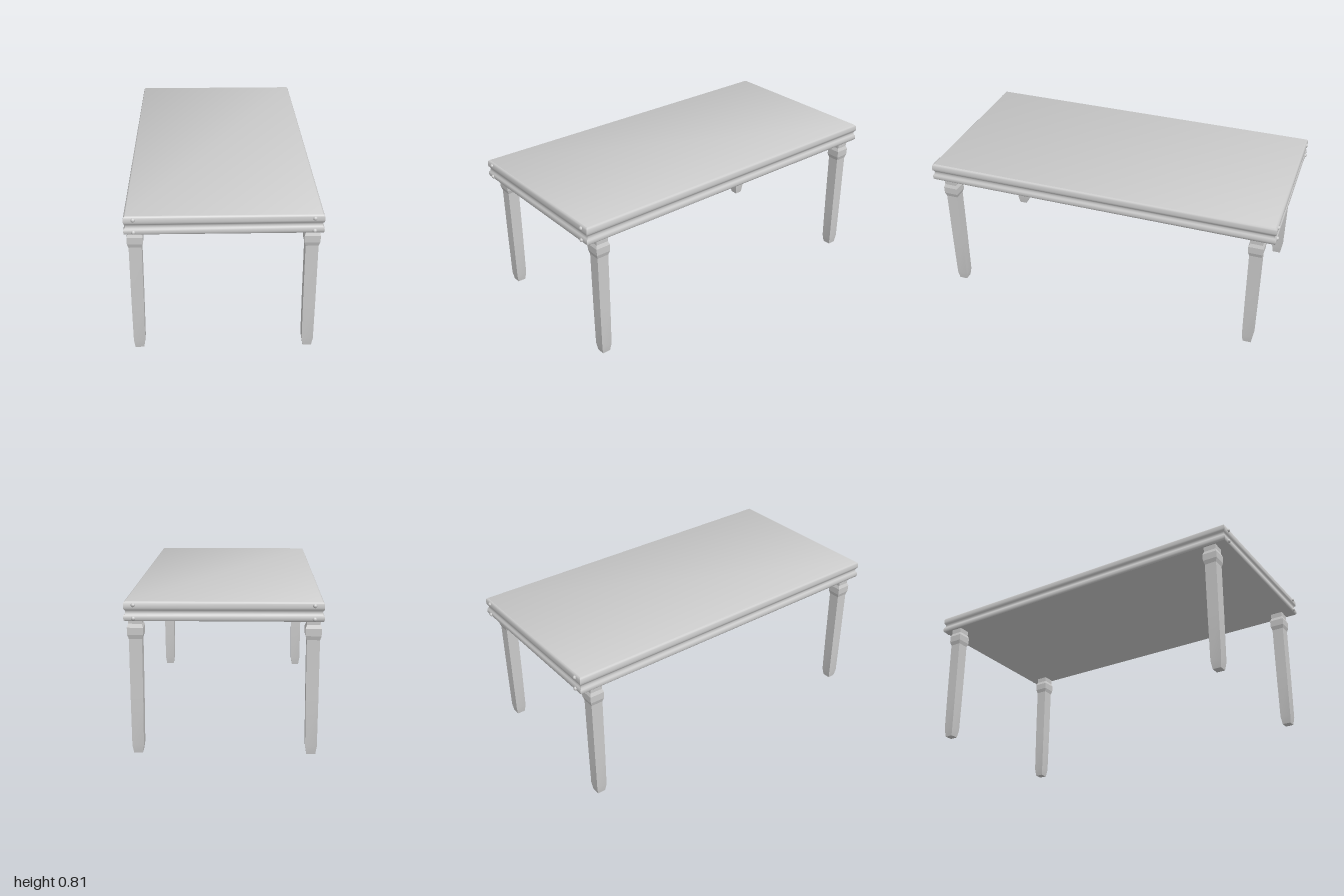
import * as THREE from 'three';
import { toCreasedNormals } from 'three/addons/utils/BufferGeometryUtils.js';

const material = new THREE.MeshStandardMaterial({ color: 0xcccccc });

// Closed loft of rectangular sections, each [y, halfWidth, halfDepth], bottom to top
function rectLoft(sections, crease) {
  const pos = [];
  const index = [];
  for (const [y, w, d] of sections) {
    pos.push(-w, y, d, w, y, d, w, y, -d, -w, y, -d);
  }
  for (let s = 0; s < sections.length - 1; s++) {
    for (let i = 0; i < 4; i++) {
      const a = s * 4 + i;
      const b = s * 4 + (i + 1) % 4;
      index.push(a, b, b + 4, a, b + 4, a + 4);
    }
  }
  const t = (sections.length - 1) * 4;
  index.push(0, 2, 1, 0, 3, 2, t, t + 1, t + 2, t, t + 2, t + 3);
  const g = new THREE.BufferGeometry();
  g.setAttribute('position', new THREE.Float32BufferAttribute(pos, 3));
  g.setIndex(index);
  return toCreasedNormals(g, crease);
}

export function createModel() {
  const group = new THREE.Group();
  const add = (name, geometry, x = 0, y = 0, z = 0) => {
    const mesh = new THREE.Mesh(geometry, material);
    mesh.name = name;
    mesh.position.set(x, y, z);
    group.add(mesh);
    return mesh;
  };

  // Table top: two rounded bands with a groove between, as [y, inset]
  const edge = [
    [0.715, 0.005], [0.72, 0.001], [0.73, 0], [0.742, 0.001], [0.749, 0.007],
    [0.76, 0.01], [0.769, 0.007], [0.775, 0.001], [0.785, 0], [0.803, 0.001],
    [0.809, 0.004], [0.814, 0.01],
  ];
  add('tableTop', rectLoft(edge.map(([y, i]) => [y, 0.495 - i, 0.991 - i]), 0.75));

  // Square legs with a tapered foot and a thicker collar, as [y, half width]
  const legProfile = [
    [0, 0.023], [0.045, 0.03], [0.3, 0.032], [0.608, 0.033], [0.63, 0.04],
    [0.668, 0.041], [0.687, 0.034], [0.72, 0.035],
  ];
  const legGeometry = rectLoft(legProfile.map(([y, w]) => [y, w, w]), 0.15);

  // Domed studs on both short ends, one in each band
  const studGeometry = new THREE.SphereGeometry(0.011, 16, 12);

  for (const sz of [1, -1]) {
    for (const sx of [1, -1]) {
      const corner = `${sz > 0 ? 'front' : 'back'}${sx > 0 ? 'Left' : 'Right'}`;
      add(`${corner}Leg`, legGeometry, sx * 0.446, 0, sz * 0.892);
      add(`${corner}UpperStud`, studGeometry, sx * 0.446, 0.795, sz * 0.989);
      add(`${corner}LowerStud`, studGeometry, sx * 0.446, 0.728, sz * 0.989);
    }
  }
  return group;
}
